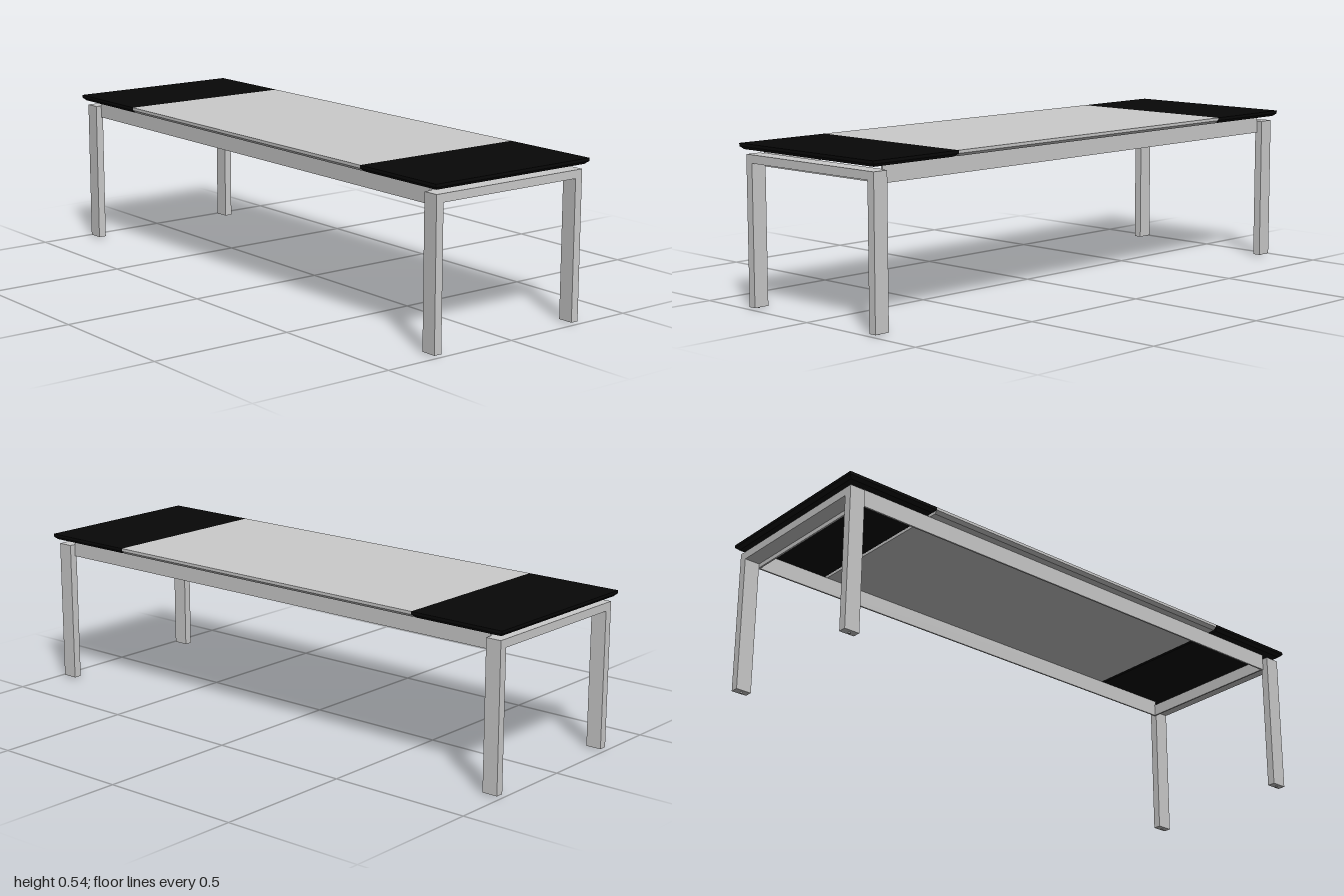
import * as THREE from 'three';

const grey = new THREE.MeshStandardMaterial({ color: 0xcccccc });
const black = new THREE.MeshStandardMaterial({ color: 0x080808 });

export function createModel() {
  const table = new THREE.Group();
  table.name = 'table';

  const add = (name, geometry, material = grey) => {
    const mesh = new THREE.Mesh(geometry, material);
    mesh.name = name;
    table.add(mesh);
    return mesh;
  };

  const box = (name, x0, x1, y0, y1, z0, z1) => {
    add(name, new THREE.BoxGeometry(x1 - x0, y1 - y0, z1 - z0))
      .position.set((x0 + x1) / 2, (y0 + y1) / 2, (z0 + z1) / 2);
  };

  // Table top panel whose lower half is chamfered inward
  const panel = (name, z0, z1, bevelZ, material) => {
    const height = 0.02, width = 0.644, depth = z1 - z0, bevel = 0.011;
    const geo = new THREE.BoxGeometry(width, height, depth, 1, 2, 1);
    const p = geo.attributes.position;
    for (let i = 0; i < p.count; i++) {
      if (p.getY(i) > -height / 4) continue;
      p.setX(i, p.getX(i) - Math.sign(p.getX(i)) * bevel);
      p.setZ(i, p.getZ(i) - Math.sign(p.getZ(i)) * bevelZ);
    }
    const flat = geo.toNonIndexed();
    flat.computeVertexNormals();
    add(name, flat, material).position.set(0, 0.531, (z0 + z1) / 2);
  };
  panel('frontExtensionPanel', 0.643, 1, 0.011, black);
  panel('centrePanel', -0.652, 0.643, 0, grey);
  panel('backExtensionPanel', -1, -0.652, 0.011, black);

  // End frames: two legs joined by a top bar in one U-shaped piece
  const outer = 0.306, inner = 0.278, base = 0.004, top = 0.505;
  const u = new THREE.Shape([
    [-outer, base], [-inner, base], [-inner, 0.477], [inner, 0.477],
    [inner, base], [outer, base], [outer, top], [-outer, top],
  ].map(([x, y]) => new THREE.Vector2(x, y)));
  const legDepth = 0.055;
  const frameGeo = new THREE.ExtrudeGeometry(u, { depth: legDepth, bevelEnabled: false });
  const footGeo = new THREE.CylinderGeometry(0.004, 0.004, base, 16);

  for (const [end, s] of [['front', 1], ['back', -1]]) {
    const z = s * 0.9575;
    add(end + 'LegFrame', frameGeo).position.z = z - legDepth / 2;
    for (const x of [-0.292, 0.292]) {
      add(end + 'Foot', footGeo).position.set(x, base / 2, z);
    }
    // Thin apron plate behind the top bar
    const zs = [s * 0.924, s * 0.93].sort((a, b) => a - b);
    box(end + 'Apron', -inner, inner, 0.462, top, ...zs);
  }

  // Thin side rails, split where the extension sections meet
  const rails = [
    ['left', 0.2785, 0.2845, [-0.93, 0.57, 0.93]],
    ['right', -0.2845, -0.2785, [-0.93, -0.57, 0.57, 0.93]],
  ];
  for (const [side, x0, x1, cuts] of rails) {
    for (let i = 0; i < cuts.length - 1; i++) {
      box(side + 'Rail' + (i + 1), x0, x1, 0.462, 0.521, cuts[i], cuts[i + 1]);
    }
  }

  return table;
}
